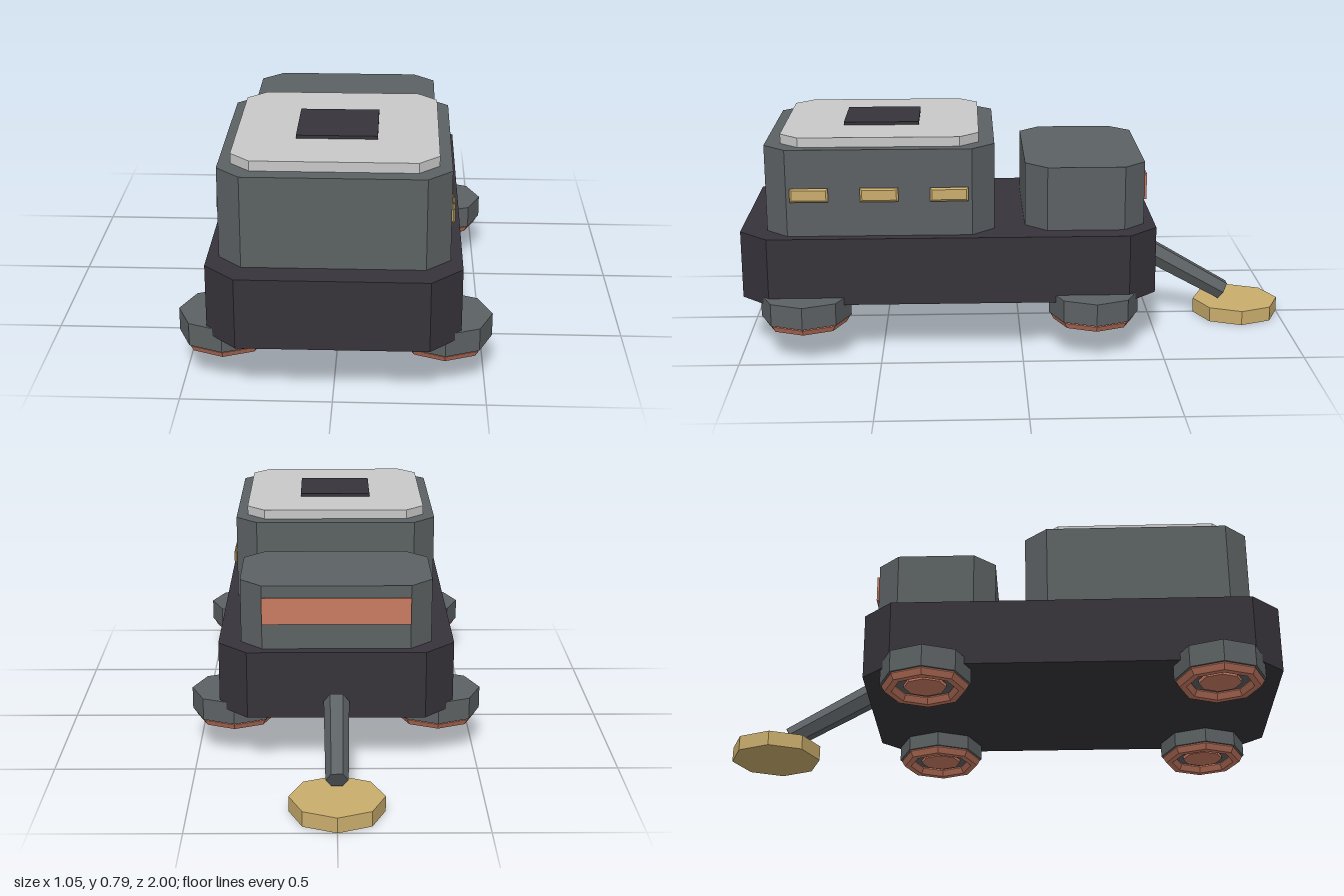
import * as THREE from 'three';

const material = (name, color) => {
  const m = new THREE.MeshStandardMaterial({ color });
  m.name = name;
  return m;
};

// Faceted normals for the low-poly look
const flat = (geometry) => {
  const g = geometry.index ? geometry.toNonIndexed() : geometry;
  g.computeVertexNormals();
  return g;
};

// Upright block with chamfered vertical corners, from y0 to y1 and z0 to z1
function chamferedBlock(halfX, z0, z1, y0, y1, c) {
  const h = (z1 - z0) / 2;
  const shape = new THREE.Shape([
    [halfX, -h + c], [halfX, h - c], [halfX - c, h], [-halfX + c, h],
    [-halfX, h - c], [-halfX, -h + c], [-halfX + c, -h], [halfX - c, -h],
  ].map(([x, y]) => new THREE.Vector2(x, y)));
  return new THREE.ExtrudeGeometry(shape, { depth: y1 - y0, bevelEnabled: false })
    .rotateX(-Math.PI / 2)
    .translate(0, y0, (z0 + z1) / 2);
}

export function createModel() {
  const model = new THREE.Group();
  model.name = 'rover';
  const dark = material('charcoal', 0x36333a);
  const grey = material('slate grey', 0x5c6163);
  const light = material('light grey', 0xc8c8c8);
  const gold = material('brass', 0xcaad6d);
  const copper = material('copper', 0xc97b63);

  const add = (name, geometry, mat, parent = model) => {
    const mesh = new THREE.Mesh(geometry, mat);
    mesh.name = name;
    parent.add(mesh);
    return mesh;
  };

  // Body
  add('chassis', chamferedBlock(0.417, -0.485, 1, 0.19, 0.433, 0.104), dark);
  add('cabin', chamferedBlock(0.378, 0.095, 0.905, 0.433, 0.744, 0.08), grey);
  add('roofPlate', chamferedBlock(0.337, 0.15, 0.85, 0.744, 0.778, 0.067), light);
  add('roofHatch', new THREE.BoxGeometry(0.27, 0.011, 0.27).translate(0, 0.7835, 0.5), dark);
  add('rearHousing', chamferedBlock(0.337, -0.445, -0.015, 0.433, 0.663, 0.077), grey);
  add('rearStrip', new THREE.BoxGeometry(0.52, 0.095, 0.009).translate(0, 0.572, -0.4485), copper);

  // Bevelled windows along the left side
  const pane = new THREE.Shape([
    new THREE.Vector2(-0.06, -0.018), new THREE.Vector2(0.06, -0.018),
    new THREE.Vector2(0.06, 0.018), new THREE.Vector2(-0.06, 0.018),
  ]);
  const windowGeometry = new THREE.ExtrudeGeometry(pane, {
    depth: 0.002, bevelThickness: 0.005, bevelSize: 0.007, bevelSegments: 1,
  }).rotateY(Math.PI / 2);
  for (const z of [0.255, 0.5, 0.745]) {
    add('sideWindow', windowGeometry, gold).position.set(0.383, 0.583, z);
  }

  // Four hover pads: octagonal pod, ring and centre disc underneath
  const pod = flat(new THREE.CylinderGeometry(0.16, 0.16, 0.08, 8));
  const ring = flat(new THREE.TorusGeometry(0.13, 0.024, 6, 8).rotateX(Math.PI / 2));
  const disc = flat(new THREE.CylinderGeometry(0.075, 0.075, 0.02, 8));
  for (const x of [-0.365, 0.365]) {
    for (const z of [-0.257, 0.77]) {
      const pad = new THREE.Group();
      pad.name = 'hoverPad';
      pad.position.set(x, 0, z);
      add('pod', pod, grey, pad).position.y = 0.176;
      add('ring', ring, copper, pad).position.y = 0.131;
      add('centreDisc', disc, copper, pad).position.y = 0.134;
      model.add(pad);
    }
  }

  // Sloping rear arm with a sensor disc at its foot
  const arm = add('rearArm',
    flat(new THREE.CylinderGeometry(0.045, 0.039, 0.337, 6).rotateY(Math.PI / 6)), grey);
  arm.rotation.x = Math.atan2(0.293, 0.167);
  arm.position.set(0, 0.172, -0.64);
  add('sensorDisc', flat(new THREE.CylinderGeometry(0.162, 0.162, 0.054, 8)), gold)
    .position.set(0, 0.027, -0.838);

  return model;
}
